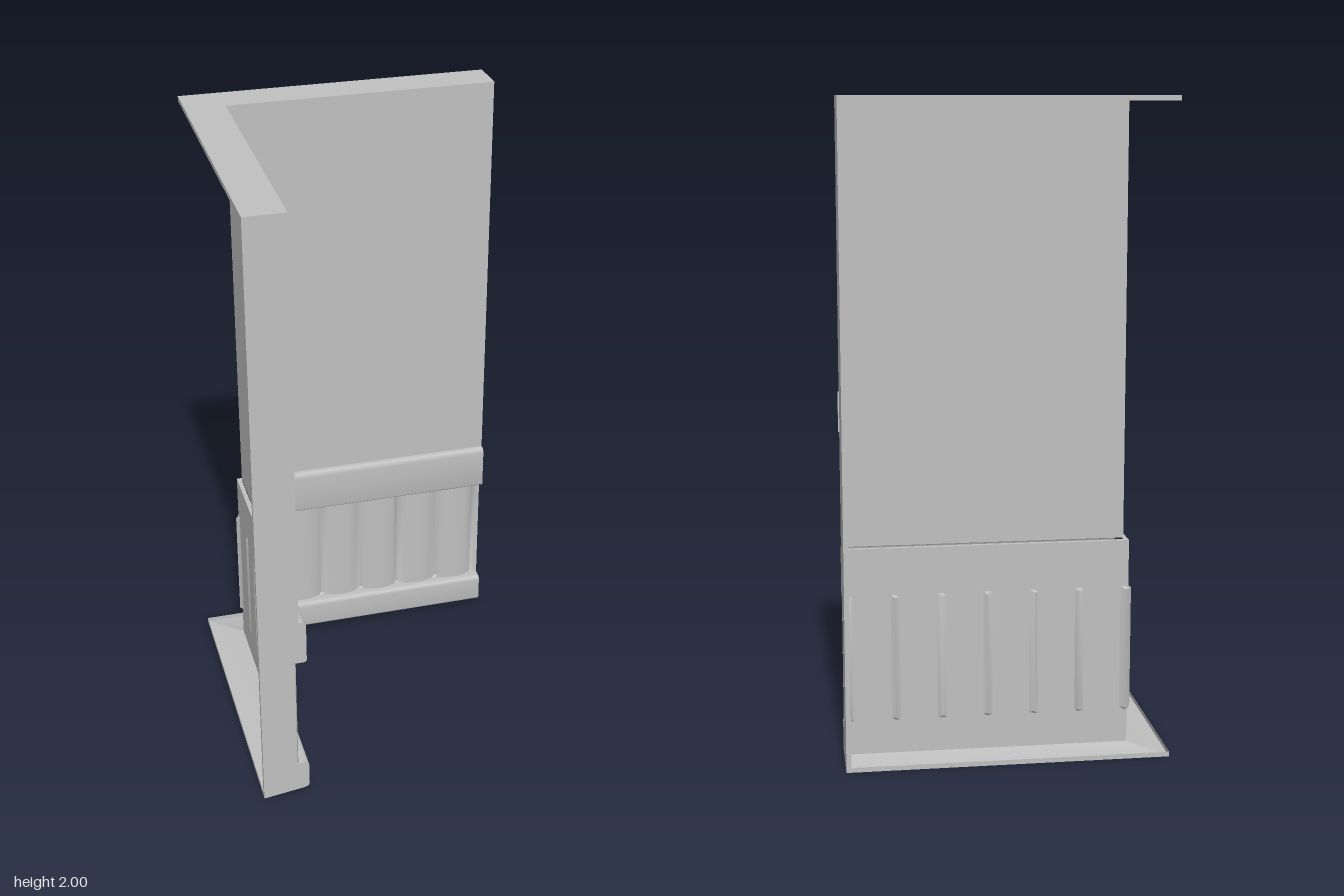
import * as THREE from 'three';
import { toCreasedNormals } from 'three/addons/utils/BufferGeometryUtils.js';

const OUT = -0.497; // outer back faces
const END = 0.493;  // free ends of both wings
const LOW = -0.386; // lower backing panel

// quarter-round from point a to point b, bulging towards corner c
function round(a, c, b, n = 5) {
  const curve = new THREE.QuadraticBezierCurve(
    new THREE.Vector2(...a), new THREE.Vector2(...c), new THREE.Vector2(...b));
  return curve.getPoints(n).map(p => [p.x, p.y]);
}

// grid of points (rows x columns) to a creased geometry
function gridSurface(rows) {
  const pos = [];
  for (let r = 0; r < rows.length - 1; r++) {
    for (let c = 0; c < rows[r].length - 1; c++) {
      const A = rows[r][c], B = rows[r][c + 1], C = rows[r + 1][c + 1], D = rows[r + 1][c];
      pos.push(...A, ...B, ...C, ...A, ...C, ...D);
    }
  }
  const geo = new THREE.BufferGeometry();
  geo.setAttribute('position', new THREE.Float32BufferAttribute(pos, 3));
  return toCreasedNormals(geo, 0.6);
}

// profile of [depth, height] run along the x wing, mitred at the corner
const sweep = profile => gridSurface(profile.map(([d, y]) => [[d, y, d], [END, y, d]]));

// swap x and z to get the other wing, keeping faces outward
function swapWing(geo) {
  const g = geo.index ? geo.toNonIndexed() : geo.clone();
  for (const name of ['position', 'normal']) {
    const a = g.attributes[name], src = a.array.slice();
    for (let i = 0; i < a.count; i++) {
      const j = i % 3 === 0 ? i : (i % 3 === 1 ? i + 1 : i - 1);
      a.setXYZ(i, src[j * 3 + 2], src[j * 3 + 1], src[j * 3]);
    }
  }
  return g;
}

export function createModel() {
  const group = new THREE.Group();
  const plaster = new THREE.MeshStandardMaterial({ color: 0xc0c0c0, side: THREE.DoubleSide });
  plaster.name = 'grey plaster';
  const backing = plaster.clone(); // same grey, seen from behind only
  backing.side = THREE.FrontSide;

  function addBoth(name, geo, material = plaster) {
    [geo, swapWing(geo)].forEach((g, i) => {
      const mesh = new THREE.Mesh(g, material);
      mesh.name = name + (i ? 'Side' : 'Back');
      group.add(mesh);
    });
  }

  // profiles, bottom to top
  const base = [
    [OUT, 0.015], [OUT, 0], [-0.362, 0.018],
    ...round([-0.358, 0.02], [-0.348, 0.022], [-0.348, 0.035]),
    ...round([-0.348, 0.105], [-0.348, 0.12], [-0.362, 0.12]), [LOW, 0.12],
  ];
  const rail = [
    [LOW, 0.515], ...round([-0.358, 0.515], [-0.348, 0.515], [-0.348, 0.525]),
    ...round([-0.348, 0.645], [-0.348, 0.665], [-0.362, 0.665]), [-0.371, 0.665],
  ];
  const wall = [[-0.371, 0.665], [-0.371, 2], [OUT, 2], [OUT, 1.985]];
  addBoth('baseboard', sweep(base));
  addBoth('chairRail', sweep(rail));
  addBoth('upperWall', sweep(wall));

  // wainscot of rounded planks, with grooves pushing through the backing
  const pitch = 0.1415, steps = 72;
  const depth = s => {
    const t = (s + 0.375) / pitch;
    return -0.4 + 0.026 * Math.sqrt(Math.abs(Math.sin(Math.PI * t)));
  };
  const rows = [0.12, 0.128, 0.507, 0.515].map((y, r) => {
    const row = [];
    for (let i = 0; i <= steps; i++) {
      const s = -0.388 + (END + 0.388) * i / steps;
      const d = depth(s);
      row.push([s, y, r % 3 === 0 ? Math.max(d, LOW) : d]);
    }
    return row;
  });
  addBoth('wainscotPlanks', gridSurface(rows));

  // lower backing panel, facing the hollow rear
  addBoth('backingPanel', sweep([[-0.371, 0.66], [LOW, 0.66], [LOW, 0.014]]), backing);

  // end caps following the whole profile
  const outline = [...base.slice(1), ...rail, [-0.371, 2], [OUT, 2]];
  const cap = new THREE.ShapeGeometry(new THREE.Shape(outline.map(p => new THREE.Vector2(...p))));
  cap.translate(0, 0, END);
  addBoth('endCap', cap);

  // narrow lip down each free rear edge
  const lip = new THREE.PlaneGeometry(0.015, 2);
  lip.rotateY(Math.PI);
  lip.translate(END - 0.0075, 1, OUT);
  addBoth('rearLip', lip);

  // small raised chip on the end of the back wing
  const chip = new THREE.Mesh(new THREE.BoxGeometry(0.004, 0.12, 0.004), plaster);
  chip.name = 'edgeChip';
  chip.position.set(0.495, 1.08, -0.385);
  group.add(chip);

  return group;
}
